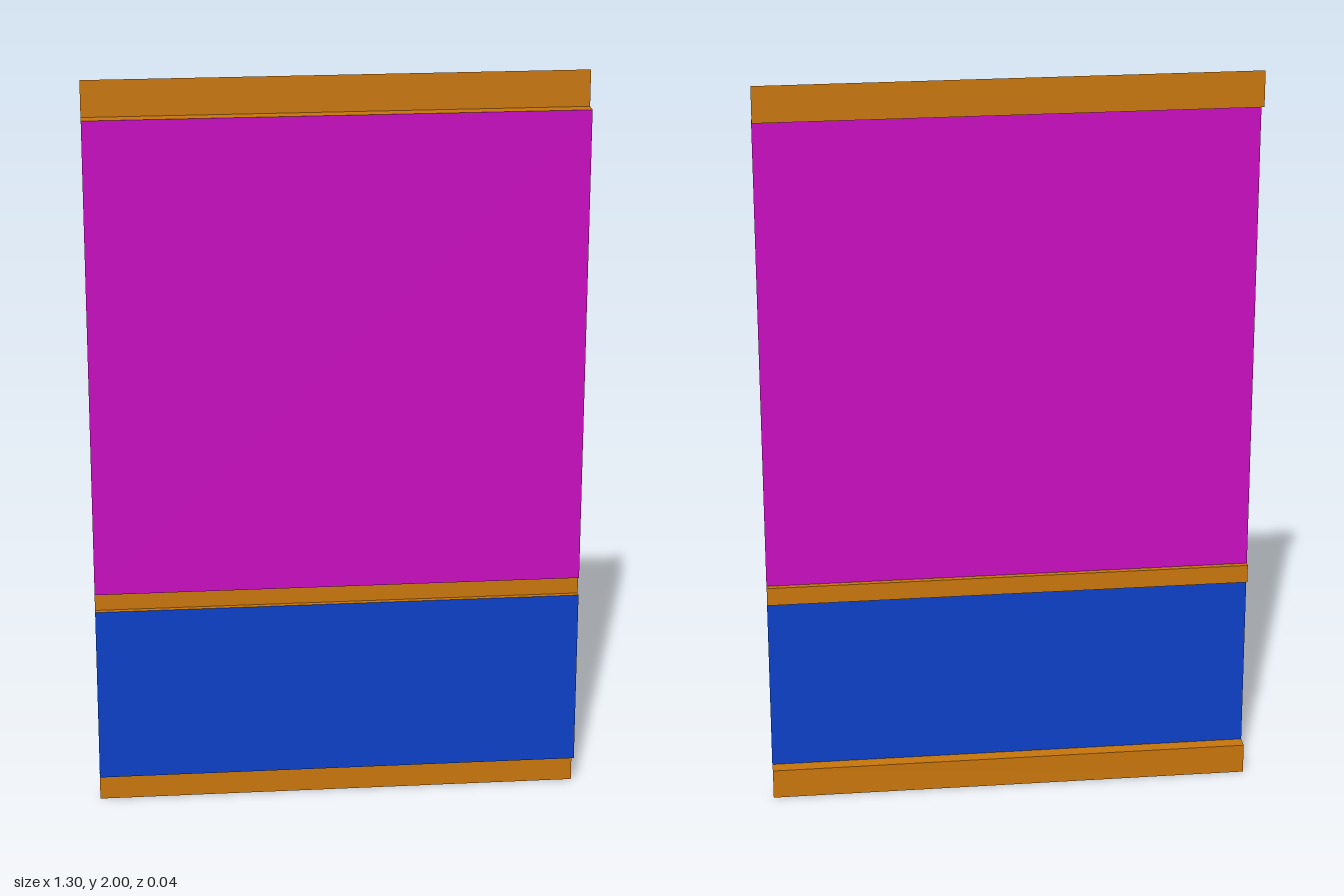
import * as THREE from 'three';

const WIDTH = 1.3;
const FRONT = 0.019, MID = 0.004, BACK = -0.019;

export function createModel() {
  const model = new THREE.Group();
  const paint = (color) => new THREE.MeshStandardMaterial({ color, side: THREE.DoubleSide });
  const trim = paint(0xc8760c), upper = paint(0xc80cc0), lower = paint(0x0c40c8);

  // Stepped sheet profile from floor to top: each row ends a strip at (y, z)
  const profile = [
    ['baseboard', 0.082, BACK, trim],
    ['baseLedge', 0.082, FRONT, trim],
    ['lowerPanel', 0.567, FRONT, lower],
    ['railUnderside', 0.567, MID, trim],
    ['middleRail', 0.617, MID, trim],
    ['railLedge', 0.617, FRONT, trim],
    ['upperPanel', 1.904, FRONT, upper],
    ['topLedge', 1.904, BACK, trim],
    ['topBoard', 2, BACK, trim],
  ];

  // Each strip is a thin open plane spanning the full width
  let y0 = 0, z0 = BACK;
  for (const [name, y, z, material] of profile) {
    const dy = y - y0, dz = z - z0;
    const strip = new THREE.Mesh(new THREE.PlaneGeometry(WIDTH, Math.hypot(dy, dz)), material);
    strip.name = name;
    strip.position.set(0, (y + y0) / 2, (z + z0) / 2);
    strip.rotation.x = Math.atan2(dz, dy);
    model.add(strip);
    y0 = y;
    z0 = z;
  }

  model.name = 'wallPanel';
  return model;
}
